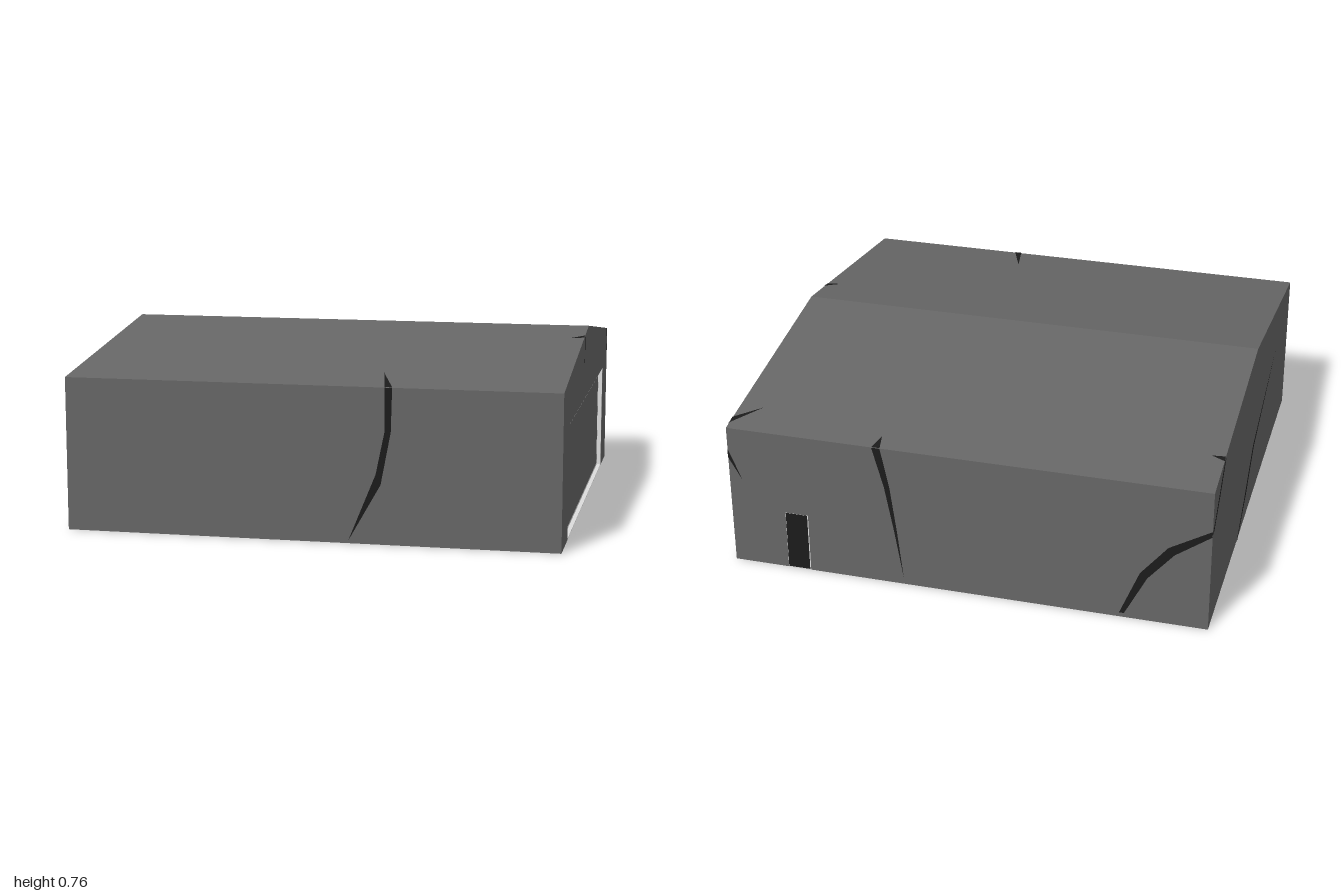
import * as THREE from 'three';

const W = 1, D = 0.995, EAVE = 0.625, RIDGE = 0.76, RECESS = 0.02, LIFT = 0.002;

const mat = (name, color, side = THREE.FrontSide) => {
  const m = new THREE.MeshStandardMaterial({ color, side });
  m.name = name;
  return m;
};

// Outline in 2D from [a, b] pairs
const outline = (pts) => new THREE.Shape(pts.map(([a, b]) => new THREE.Vector2(a, b)));
const rect = (a0, b0, a1, b1) => [[a0, b0], [a1, b0], [a1, b1], [a0, b1]];

// Each surface maps flat coordinates to a point just above it
const roofY = (z) => RIDGE - (RIDGE - EAVE) * Math.abs(z) / D;
const surfaces = {
  front: (x, y) => [x, y, D + LIFT],
  back: (x, y) => [x, y, -D - LIFT],
  right: (z, y) => [W + LIFT, y, z],
  left: (z, y) => [-W - LIFT, y, z],
  recess: (z, y) => [W - RECESS + LIFT, y, z],
  roof: (x, z) => [x, roofY(z) + LIFT, z],
};

export function createModel() {
  const group = new THREE.Group();
  const concrete = mat('concrete grey', 0x666666);
  const trim = mat('light trim', 0xdcdcdc, THREE.DoubleSide);
  const dark = mat('dark crack', 0x1b1b1b, THREE.DoubleSide);

  const add = (name, geometry, material) => {
    const mesh = new THREE.Mesh(geometry, material);
    mesh.name = name;
    group.add(mesh);
    return mesh;
  };

  // Profile drawn in (-z, y), extruded along +x
  const alongX = (name, shape, x0, depth, material) => {
    const g = new THREE.ExtrudeGeometry(shape, { depth, bevelEnabled: false });
    g.rotateY(Math.PI / 2);
    g.translate(x0, 0, 0);
    return add(name, g, material);
  };

  // Flat painted patch on a surface
  const patch = (name, surface, pts, material, hole) => {
    const shape = outline(pts);
    if (hole) shape.holes.push(outline(hole));
    const g = new THREE.ShapeGeometry(shape);
    const p = g.attributes.position;
    for (let i = 0; i < p.count; i++) p.setXYZ(i, ...surfaces[surface](p.getX(i), p.getY(i)));
    g.computeVertexNormals();
    return add(name, g, material);
  };

  // Building body with gabled roof
  const gable = [[-D, 0], [D, 0], [D, EAVE], [0, RIDGE], [-D, EAVE]];
  alongX('building', outline(gable), -W, 2 * W - RECESS, concrete);

  // Gable wall around the wide doorway
  const doorZ = 0.775, doorH = 0.465;
  alongX('doorwayWall', outline([
    [-D, 0], [-doorZ, 0], [-doorZ, doorH], [doorZ, doorH], [doorZ, 0],
    [D, 0], [D, EAVE], [0, RIDGE], [-D, EAVE],
  ]), W - RECESS, RECESS, concrete);

  // Doorway lining and frame around the large door
  const lining = outline(rect(-doorZ, 0, doorZ, doorH));
  lining.holes.push(outline(rect(-doorZ + 0.003, 0.003, doorZ - 0.003, doorH - 0.003)));
  alongX('doorwayLining', lining, W - RECESS, RECESS - 0.001, trim);
  patch('doorFrame', 'recess', rect(-doorZ, 0, doorZ, doorH), trim,
    rect(-doorZ + 0.01, 0.013, doorZ - 0.01, doorH - 0.015));

  // Small back door with a slim frame
  patch('backDoorFrame', 'back', rect(0.667, 0, 0.765, 0.263), trim, rect(0.671, 0.004, 0.764, 0.262));
  patch('backDoor', 'back', rect(0.671, 0.004, 0.764, 0.262), dark);

  // Cracks, each tapering to a point
  const cracks = [
    ['frontCrack', 'front', [[0.16, 0.01], [0.29, 0.24], [0.33, 0.45], [0.335, EAVE], [0.305, EAVE], [0.305, 0.45], [0.27, 0.28]]],
    ['frontRoofCrack', 'roof', [[0.265, 0.8], [0.335, D], [0.305, D]]],
    ['gableCrack', 'right', [[0.2, 0.732], [0.165, 0.737], [0.168, 0.69], [0.184, 0.615], [0.188, 0.69]]],
    ['gableRoofCrack', 'roof', [[0.94, 0.215], [W, 0.165], [W, 0.2]]],
    ['cornerCrackSide', 'right', [[-0.92, 0.635], [-0.96, 0.629], [-0.955, 0.57], [-D, 0.515], [-D, 0.5], [-0.935, 0.565]]],
    ['cornerCrackRoof', 'roof', [[0.9, -0.835], [W, -0.96], [W, -0.92]]],
    ['cornerCrackBack', 'back', [[W, 0.53], [W, 0.49], [0.943, 0.39]]],
    ['backCrack', 'back', [[0.38, EAVE], [0.345, EAVE], [0.31, 0.45], [0.285, 0.25], [0.262, 0.03], [0.297, 0.25], [0.333, 0.45]]],
    ['backRoofCrack', 'roof', [[0.345, -D], [0.38, -D], [0.36, -0.92]]],
    ['edgeCrackBack', 'back', [[-0.64, 0.02], [-0.72, 0.22], [-0.83, 0.355], [-W, 0.455], [-W, 0.43], [-0.855, 0.325], [-0.75, 0.2], [-0.66, 0.02]]],
    ['edgeCrackSide', 'left', [[-D, 0.43], [-D, 0.455], [-0.895, 0.55], [-0.79, 0.651], [-0.76, 0.655], [-0.87, 0.54]]],
    ['edgeCrackRoof', 'roof', [[-W, -0.79], [-W, -0.76], [-0.945, -0.765]]],
    ['sideCrack', 'left', [[-0.335, 0], [-0.16, 0.13], [0.01, 0.285], [0.6, 0.475], [0.035, 0.268], [-0.125, 0.12], [-0.31, 0]]],
  ];
  for (const [name, surface, pts] of cracks) patch(name, surface, pts, dark);

  // Chip in the top of the door frame
  const chip = patch('frameChip', 'recess', [[-0.2, 0.465], [-0.235, 0.465], [-0.25, 0.45], [-0.215, 0.45]], dark);
  chip.position.x = LIFT;

  return group;
}
